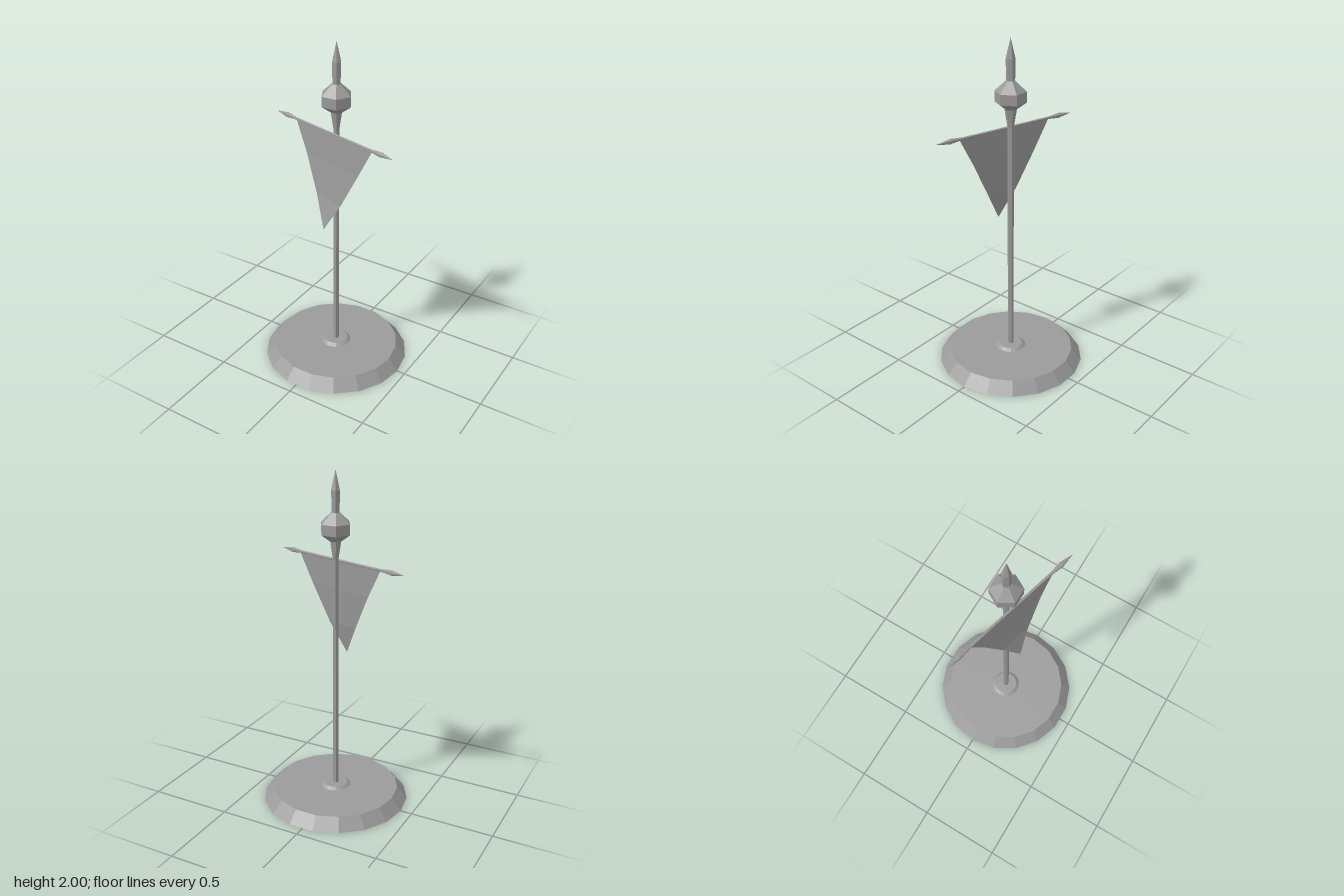
import * as THREE from 'three';

const material = new THREE.MeshStandardMaterial({
  color: 0x9a9a9a, flatShading: true, side: THREE.DoubleSide,
});

// Turned part from [radius, height] pairs, with one corner on the x axis
function turned(name, profile, sides) {
  const points = profile.map(([r, y]) => new THREE.Vector2(r, y));
  const mesh = new THREE.Mesh(new THREE.LatheGeometry(points, sides, Math.PI / 2), material);
  mesh.name = name;
  return mesh;
}

// Pennant tapering to a point, curling forward; rows are [y, half width, forward]
function makePennant() {
  const rows = [[1.48, 0.305, 0], [1.31, 0.213, 0.008], [1.09, 0.1, 0.032], [0.91, 0, 0.073]];
  const positions = [];
  const index = [];
  rows.forEach(([y, w, z], i) => {
    positions.push(-w, y, z, w, y, z);
    if (i === 0) return;
    const a = 2 * (i - 1);
    index.push(a, a + 2, a + 1);
    if (w > 0) index.push(a + 1, a + 2, a + 3);
  });
  const geometry = new THREE.BufferGeometry();
  geometry.setAttribute('position', new THREE.Float32BufferAttribute(positions, 3));
  geometry.setIndex(index);
  geometry.computeVertexNormals();
  const mesh = new THREE.Mesh(geometry, material);
  mesh.name = 'pennant';
  mesh.position.x = 0.01;
  return mesh;
}

export function createModel() {
  const model = new THREE.Group();
  model.name = 'bannerStand';

  // Upright parts share one axis
  const stand = new THREE.Group();
  stand.name = 'stand';
  stand.position.x = 0.01;
  stand.add(
    // hollow base with a raised collar
    turned('base', [[0.44, 0], [0.38, 0.07], [0.09, 0.07], [0.07, 0.085], [0, 0.085]], 18),
    turned('pole', [[0.018, 0], [0.018, 1.51]], 6),
    // socket, knob and spear point
    turned('finial', [
      [0, 1.5], [0.018, 1.5], [0.035, 1.605], [0.09, 1.645], [0.09, 1.705],
      [0.025, 1.765], [0.027, 1.885], [0, 2],
    ], 6),
  );
  model.add(stand);

  // Crossbar and pennant, turned about the pole
  const banner = new THREE.Group();
  banner.name = 'banner';
  banner.position.z = 0.035;
  banner.rotation.y = -THREE.MathUtils.degToRad(15);
  const crossbar = turned('crossbar', [
    [0, -0.466], [0.016, -0.375], [0.008, -0.3], [0.008, 0.3], [0.016, 0.375], [0, 0.466],
  ], 6);
  crossbar.rotation.z = -Math.PI / 2;
  crossbar.position.y = 1.485;
  banner.add(crossbar, makePennant());
  model.add(banner);

  return model;
}
